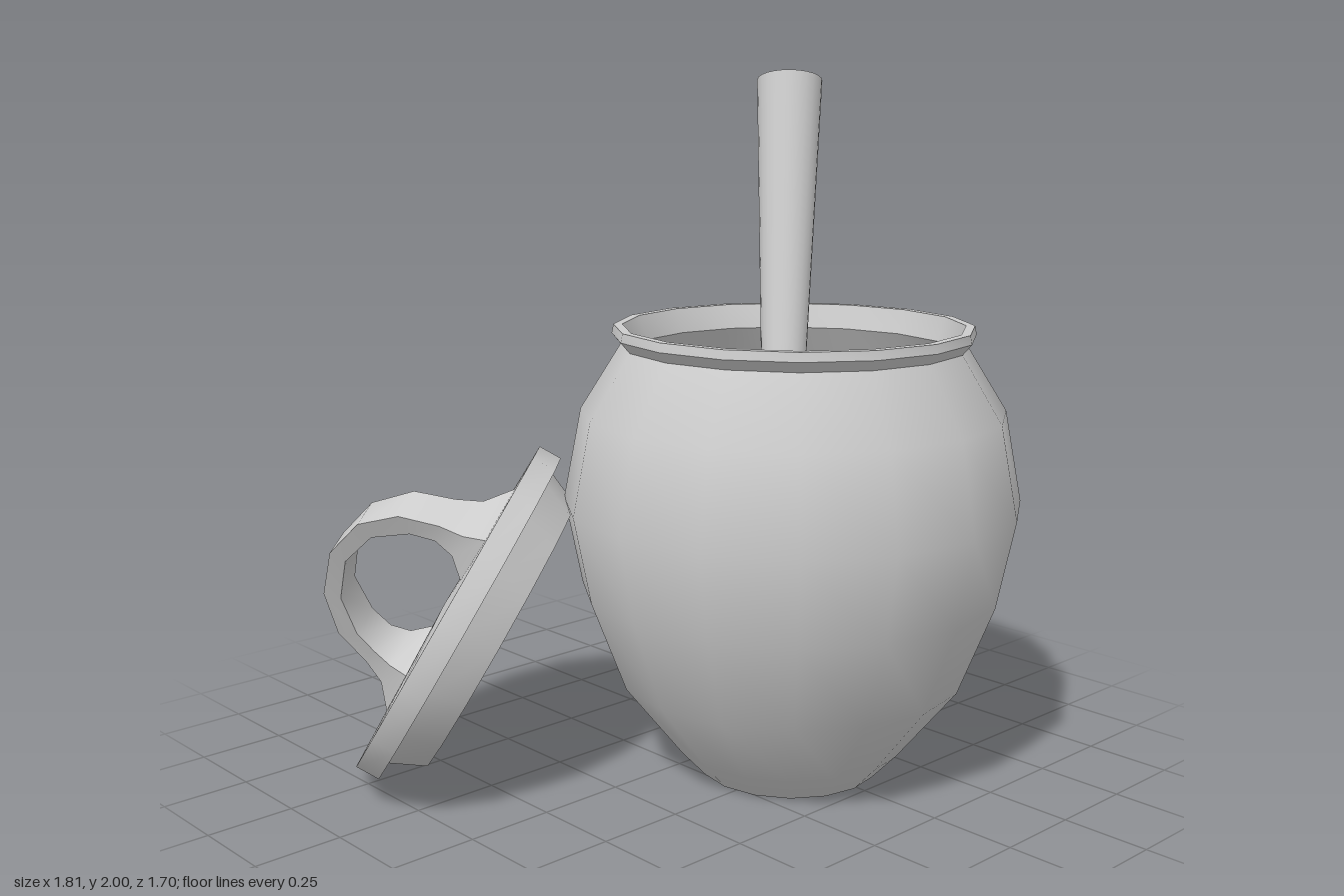
import * as THREE from 'three';
import { toCreasedNormals } from 'three/addons/utils/BufferGeometryUtils.js';

const SIDES = 16;
const material = new THREE.MeshStandardMaterial({ color: 0xcccccc });

function addMesh(parent, name, geometry) {
  const mesh = new THREE.Mesh(geometry, material);
  mesh.name = name;
  parent.add(mesh);
  return mesh;
}

// Turned shape with smooth sides and sharp profile corners
function turned(profile) {
  const points = profile.map(([r, y]) => new THREE.Vector2(r, y));
  return toCreasedNormals(new THREE.LatheGeometry(points, SIDES), 0.6);
}

// Strap handle: rectangular sections swept over an arch, flaring at both feet
function strapHandle() {
  // [outer along, outer height, inner along, inner height, half width]
  const half = [
    [0.44, 0, 0.24, 0, 0.11],
    [0.37, 0.06, 0.28, 0.06, 0.075],
    [0.34, 0.13, 0.28, 0.12, 0.058],
    [0.29, 0.24, 0.25, 0.19, 0.055],
    [0.17, 0.33, 0.15, 0.28, 0.048],
    [0, 0.365, 0, 0.315, 0.045],
  ];
  const mirrored = half.slice(0, -1).reverse().map(([a, b, c, d, w]) => [-a, b, -c, d, w]);
  const sections = [...half, ...mirrored];
  const positions = [];
  const index = [];
  sections.forEach(([ox, oy, ix, iy, w], i) => {
    positions.push(ox, oy, w, ox, oy, -w, ix, iy, -w, ix, iy, w);
    if (i === sections.length - 1) return;
    for (let j = 0; j < 4; j++) {
      const a = i * 4 + j;
      const b = i * 4 + ((j + 1) % 4);
      index.push(a, b, a + 4, b, b + 4, a + 4);
    }
  });
  const geometry = new THREE.BufferGeometry();
  geometry.setAttribute('position', new THREE.Float32BufferAttribute(positions, 3));
  geometry.setIndex(index);
  return toCreasedNormals(geometry, 0.75);
}

export function createModel() {
  const model = new THREE.Group();
  model.name = 'jarWithLidAndStick';

  // Jar: belly, rolled rim and the inner wall down to the contents
  const jar = new THREE.Group();
  jar.name = 'jar';
  jar.position.set(0.24, 0, 0.21);
  model.add(jar);
  addMesh(jar, 'jarBody', turned([
    [0, 0], [0.26, 0], [0.33, 0.075], [0.5, 0.29], [0.6, 0.55], [0.65, 0.8], [0.6, 1.06],
    [0.485, 1.245], [0.51, 1.275], [0.505, 1.3], [0.48, 1.3], [0.455, 1.23], [0.57, 1.04],
  ]));
  const contents = addMesh(jar, 'contents', new THREE.CircleGeometry(0.575, SIDES).rotateX(-Math.PI / 2));
  contents.position.y = 1.04;

  // Tapered stick leaning out of the jar
  const foot = new THREE.Vector3(0.42, 0.95, 0);
  const tip = new THREE.Vector3(0.673, 1.972, -0.225);
  const axis = tip.clone().sub(foot);
  const stick = addMesh(model, 'stick', new THREE.CylinderGeometry(0.1, 0.06, axis.length(), 24));
  stick.position.copy(foot).add(tip).multiplyScalar(0.5);
  stick.quaternion.setFromUnitVectors(new THREE.Vector3(0, 1, 0), axis.normalize());

  // Lid leaning on the jar; its local x runs along the handle, y points outwards
  const lid = new THREE.Group();
  lid.name = 'lid';
  const outward = new THREE.Vector3(-0.612, 0.5, -0.612).normalize();
  const along = new THREE.Vector3(-0.056, 0.745, 0.664);
  const across = along.clone().cross(outward).normalize();
  along.crossVectors(outward, across);
  lid.quaternion.setFromRotationMatrix(new THREE.Matrix4().makeBasis(along, outward, across));
  lid.position.set(-0.505, 0.495, -0.43);
  model.add(lid);
  addMesh(lid, 'lidPlate', turned([
    [0, -0.07], [0.4, -0.07], [0.38, -0.17], [0.43, -0.17], [0.475, -0.07],
    [0.525, -0.07], [0.525, 0], [0, 0.012],
  ]));
  addMesh(lid, 'lidHandle', strapHandle());

  return model;
}
